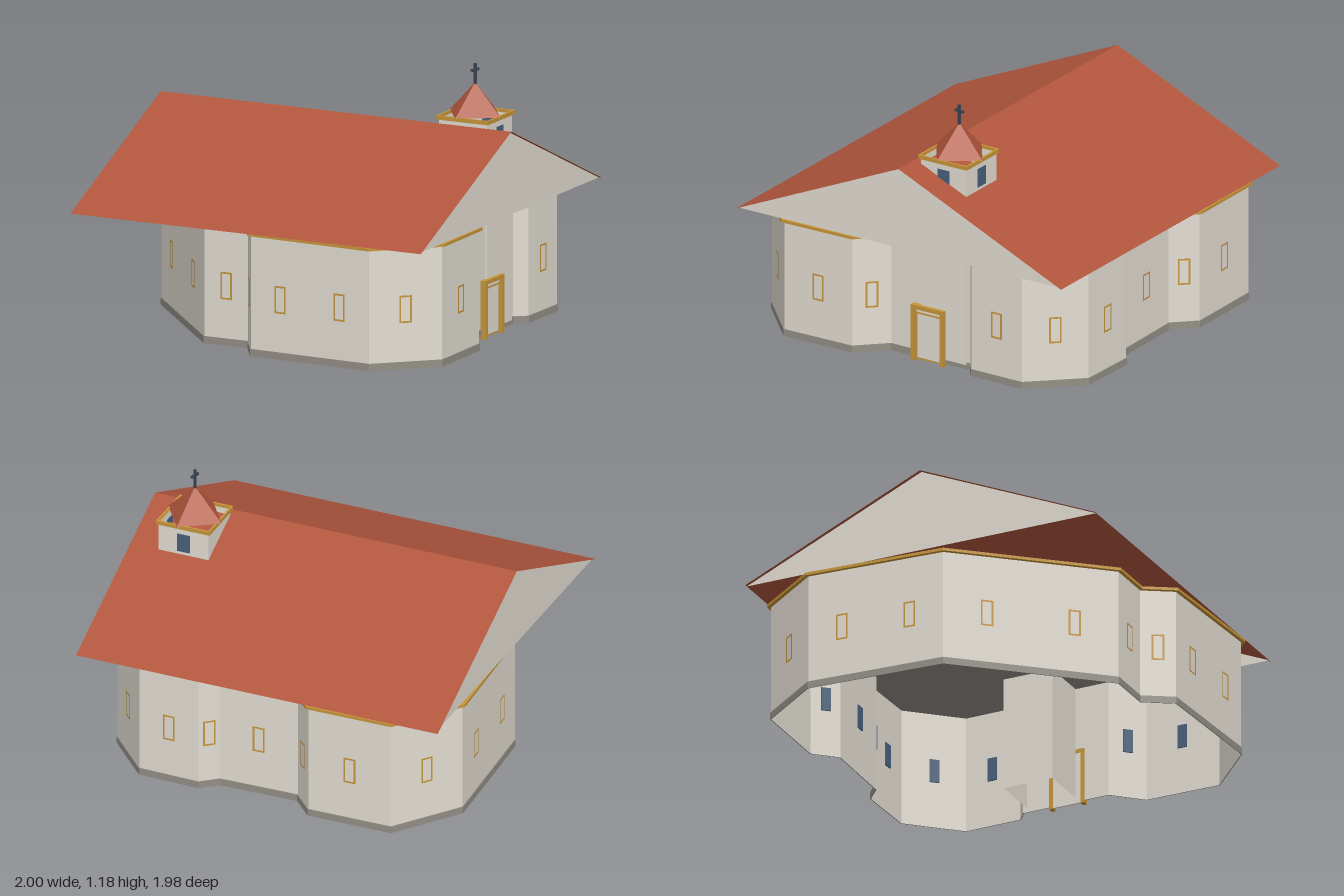
import * as THREE from 'three';

const paint = (name, color, side = THREE.FrontSide) => {
  const m = new THREE.MeshStandardMaterial({ color, side });
  m.name = name;
  return m;
};

// Wall corners [x, z], walked from the front left towards the right side
const PLAN = [
  [-0.78, 0.235], [-0.16, 0.72], [0.05, 0.68], [0.155, 0.795], [0.74, 0.71], [0.935, 0.445],
  [0.867, 0.1], [0.727, 0], [0.655, -0.41], [0.7, -0.46], [0.655, -0.72], [0.42, -0.895],
  [0.14, -0.85], [0.08, -0.775], [-0.28, -0.7], [-0.39, -0.78], [-0.773, -0.705], [-0.93, -0.385],
];
// Positions of windows along each wall; wall 7 holds the door, wall 8 is blank
const WINDOWS = [[0.25, 0.75], [0.5], [0.5], [0.25, 0.75], [0.5], [0.5], [0.5], [], [],
  [0.5], [0.5], [0.5], [0.5], [0.5], [0.5], [0.5], [0.5], [0.25, 0.75]];

const normalOf = (a, b) => {
  const dx = b[0] - a[0], dz = b[1] - a[1], l = Math.hypot(dx, dz);
  return [-dz / l, dx / l];
};

// Push a closed plan outwards by d with mitred corners
function offset(plan, d) {
  const n = plan.length;
  return plan.map((p, i) => {
    const a = normalOf(plan[(i + n - 1) % n], p), b = normalOf(p, plan[(i + 1) % n]);
    const k = d / (1 + a[0] * b[0] + a[1] * b[1]);
    return [p[0] + (a[0] + b[0]) * k, p[1] + (a[1] + b[1]) * k];
  });
}

function faces(tris) {
  const g = new THREE.BufferGeometry();
  g.setAttribute('position', new THREE.Float32BufferAttribute(tris.flat(), 3));
  g.computeVertexNormals();
  return g;
}
const quad = (a, b, c, d) => [a, b, c, a, c, d];

// Sweep a profile of [offset, y] points round a closed plan
function band(plan, profile) {
  const tris = [];
  const loops = profile.map(([d, y]) => offset(plan, d).map(([x, z]) => [x, y, z]));
  for (let k = 0; k + 1 < loops.length; k++) {
    for (let i = 0; i < plan.length; i++) {
      const j = (i + 1) % plan.length;
      tris.push(...quad(loops[k][i], loops[k][j], loops[k + 1][j], loops[k + 1][i]));
    }
  }
  return faces(tris);
}

// Flat rectangular trim with an opening
function flatFrame(w, y0, y1, bar) {
  const rect = (P, x, a, b) => new P([[-x, a], [x, a], [x, b], [-x, b]].map((p) => new THREE.Vector2(...p)));
  const shape = rect(THREE.Shape, w / 2, y0, y1);
  shape.holes.push(rect(THREE.Path, w / 2 - bar, y0 + bar, y1 - bar));
  return new THREE.ShapeGeometry(shape);
}

function add(parent, name, geometry, material, x = 0, y = 0, z = 0) {
  const m = new THREE.Mesh(geometry, material);
  m.name = name;
  m.position.set(x, y, z);
  parent.add(m);
  return m;
}
const box = (w, h, d) => new THREE.BoxGeometry(w, h, d);

export function createModel() {
  const model = new THREE.Group();
  model.name = 'chapel';
  const wall = paint('cream plaster', 0xe3ded3, THREE.DoubleSide);
  const plinth = paint('grey stone', 0x938f86);
  const tile = paint('red tile', 0xb1563c, THREE.DoubleSide);
  const gold = paint('ochre trim', 0xc8963a, THREE.DoubleSide);
  const trim = paint('ochre flat trim', 0xc8963a);
  const glass = paint('blue glass', 0x48607c);
  const iron = paint('dark iron', 0x3a4450);

  // Walls, plinth, cornice and ceiling
  add(model, 'walls', band(PLAN, [[0, 0.01], [0, 0.55]]), wall);
  add(model, 'plinth', band(PLAN, [[0, 0.01], [0.004, 0.01], [0.004, 0.042], [0, 0.042]]), plinth);
  add(model, 'cornice', band(PLAN, [[0, 0.546], [0.016, 0.546], [0.016, 0.559], [0, 0.559]]), gold);
  const outline = new THREE.Shape(PLAN.map(([x, z]) => new THREE.Vector2(x, z)));
  add(model, 'ceiling', new THREE.ShapeGeometry(outline).rotateX(Math.PI / 2), plinth, 0, 0.55, 0);

  // Group lying on a wall, its +z pointing outwards
  const onWall = (name, i, t) => {
    const a = PLAN[i], b = PLAN[(i + 1) % PLAN.length], n = normalOf(a, b);
    const g = new THREE.Group();
    g.name = name;
    g.position.set(a[0] + (b[0] - a[0]) * t, 0, a[1] + (b[1] - a[1]) * t);
    g.rotation.y = Math.atan2(n[0], n[1]);
    model.add(g);
    return g;
  };

  // Windows: flat trim outside, pane on the inner face
  WINDOWS.forEach((list, i) => list.forEach((t) => {
    const g = onWall('window', i, t);
    add(g, 'windowTrim', flatFrame(0.056, 0.215, 0.337, 0.008), trim, 0, 0, 0.003);
    add(g, 'pane', box(0.044, 0.108, 0.006), glass, 0, 0.276, -0.008);
  }));

  // Door with a heavy surround and a round window above
  const door = onWall('door', 7, 0.49);
  for (const s of [-1, 1]) {
    add(door, 'doorPost', box(0.018, 0.26, 0.028), gold, s * 0.076, 0.13, 0.012);
  }
  add(door, 'doorLintel', box(0.134, 0.018, 0.028), gold, 0, 0.251, 0.012);
  add(door, 'doorLeaf', box(0.134, 0.238, 0.008), wall, 0, 0.122, 0.004);
  add(door, 'doorTrim', flatFrame(0.134, 0.004, 0.224, 0.008), trim, 0, 0, 0.01);
  add(door, 'roundWindowRim', new THREE.RingGeometry(0.035, 0.044, 24), trim, 0, 0.341, 0.003);
  add(door, 'roundWindowPane', new THREE.CircleGeometry(0.036, 24), glass, 0, 0.341, 0.002);

  // Gable roof, turned against the plan
  const upper = new THREE.Group();
  upper.name = 'roofAndTower';
  upper.rotation.y = 0.184;
  model.add(upper);
  const L = 0.859, W = 0.847, EAVE = 0.56, RIDGE = 0.935;
  add(upper, 'roof', faces([
    ...quad([-L, EAVE, W], [L, EAVE, W], [L, RIDGE, 0], [-L, RIDGE, 0]),
    ...quad([L, EAVE, -W], [-L, EAVE, -W], [-L, RIDGE, 0], [L, RIDGE, 0]),
  ]), tile);
  const G = L - 0.015;
  for (const s of [-1, 1]) {
    add(upper, 'gable', faces([[s * G, EAVE, s * W], [s * G, EAVE, -s * W], [s * G, RIDGE - 0.002, 0]]), wall);
  }

  // Bell tower: open shaft, trim band, windows on the right and back
  const tower = new THREE.Group();
  tower.name = 'bellTower';
  tower.position.set(0.607, 0, -0.146);
  upper.add(tower);
  const R = 0.118;
  const square = [[-R, R], [R, R], [R, -R], [-R, -R]];
  add(tower, 'towerWalls', band(square, [[0, 0.03], [0, 0.95]]), wall);
  add(tower, 'towerCornice', band(square, [[0, 0.946], [0.009, 0.946], [0.009, 0.964], [0, 0.964]]), gold);
  for (const turn of [Math.PI / 2, Math.PI]) {
    const side = new THREE.Group();
    side.name = 'towerSide';
    side.rotation.y = turn;
    tower.add(side);
    add(side, 'towerWindow', box(0.06, 0.085, 0.006), glass, 0, 0.876, R + 0.001);
  }

  // Spire and cross, square to the world axes
  const spire = new THREE.ConeGeometry(0.14, 0.14, 4, 1, true).toNonIndexed();
  spire.computeVertexNormals();
  add(model, 'spire', spire, tile, 0.567, 1.03, -0.256);
  add(model, 'crossPost', box(0.01, 0.1, 0.01), iron, 0.567, 1.134, -0.256);
  add(model, 'crossBar', box(0.012, 0.01, 0.048), iron, 0.567, 1.155, -0.256);
  return model;
}
